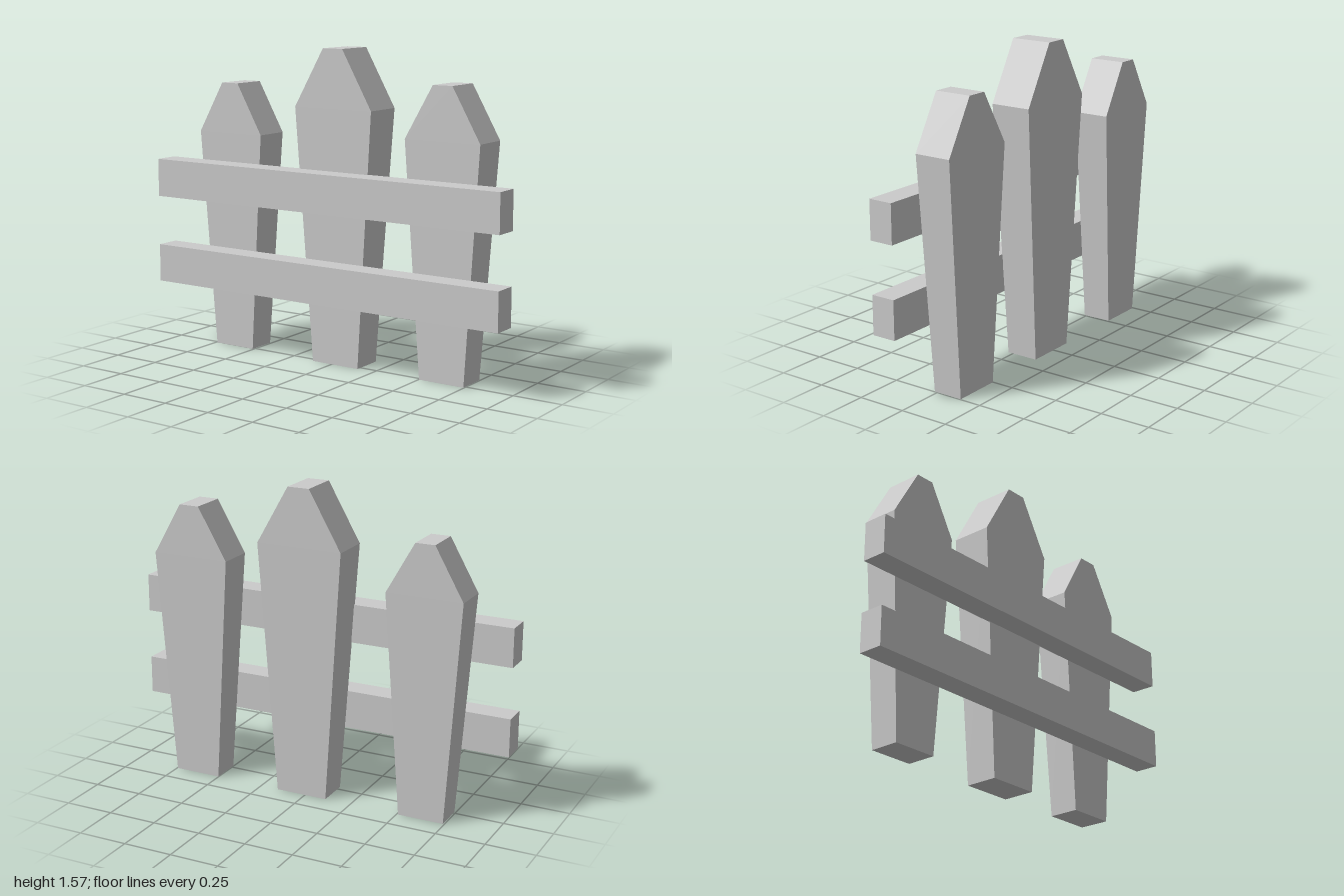
import * as THREE from 'three';

const material = new THREE.MeshStandardMaterial({ color: 0xcccccc, flatShading: true });

// Picket: a box with one middle ring, widened to the shoulder and narrowed to a blunt tip.
// Each ring is [y, half width, half depth], from the foot to the tip.
function makePicket(name, x, z, rings) {
  const box = new THREE.BoxGeometry(2, 2, 2, 1, 2, 1);
  const p = box.attributes.position;
  for (let i = 0; i < p.count; i++) {
    const [y, halfWidth, halfDepth] = rings[Math.round(p.getY(i)) + 1];
    p.setXYZ(i, p.getX(i) * halfWidth, y, p.getZ(i) * halfDepth);
  }
  const geometry = box.toNonIndexed();
  geometry.computeVertexNormals();
  const mesh = new THREE.Mesh(geometry, material);
  mesh.name = name;
  mesh.position.set(x, 0, z);
  return mesh;
}

// Rail: a plain horizontal bar in front of the pickets
function makeRail(name, y) {
  const mesh = new THREE.Mesh(new THREE.BoxGeometry(2, 0.194, 0.125), material);
  mesh.name = name;
  mesh.position.set(0, y, 0.098);
  return mesh;
}

export function createModel() {
  const fence = new THREE.Group();
  fence.name = 'fence';

  fence.add(
    makePicket('rightPicket', -0.625, -0.062, [[0, 0.117, 0.075], [1.12, 0.194, 0.093], [1.375, 0.049, 0.093]]),
    makePicket('middlePicket', 0.02, -0.055, [[0, 0.134, 0.083], [1.28, 0.222, 0.105], [1.57, 0.056, 0.105]]),
    makePicket('leftPicket', 0.624, -0.06, [[0, 0.122, 0.077], [1.16, 0.202, 0.095], [1.42, 0.052, 0.095]]),
    makeRail('lowerRail', 0.426),
    makeRail('upperRail', 0.876)
  );
  return fence;
}
